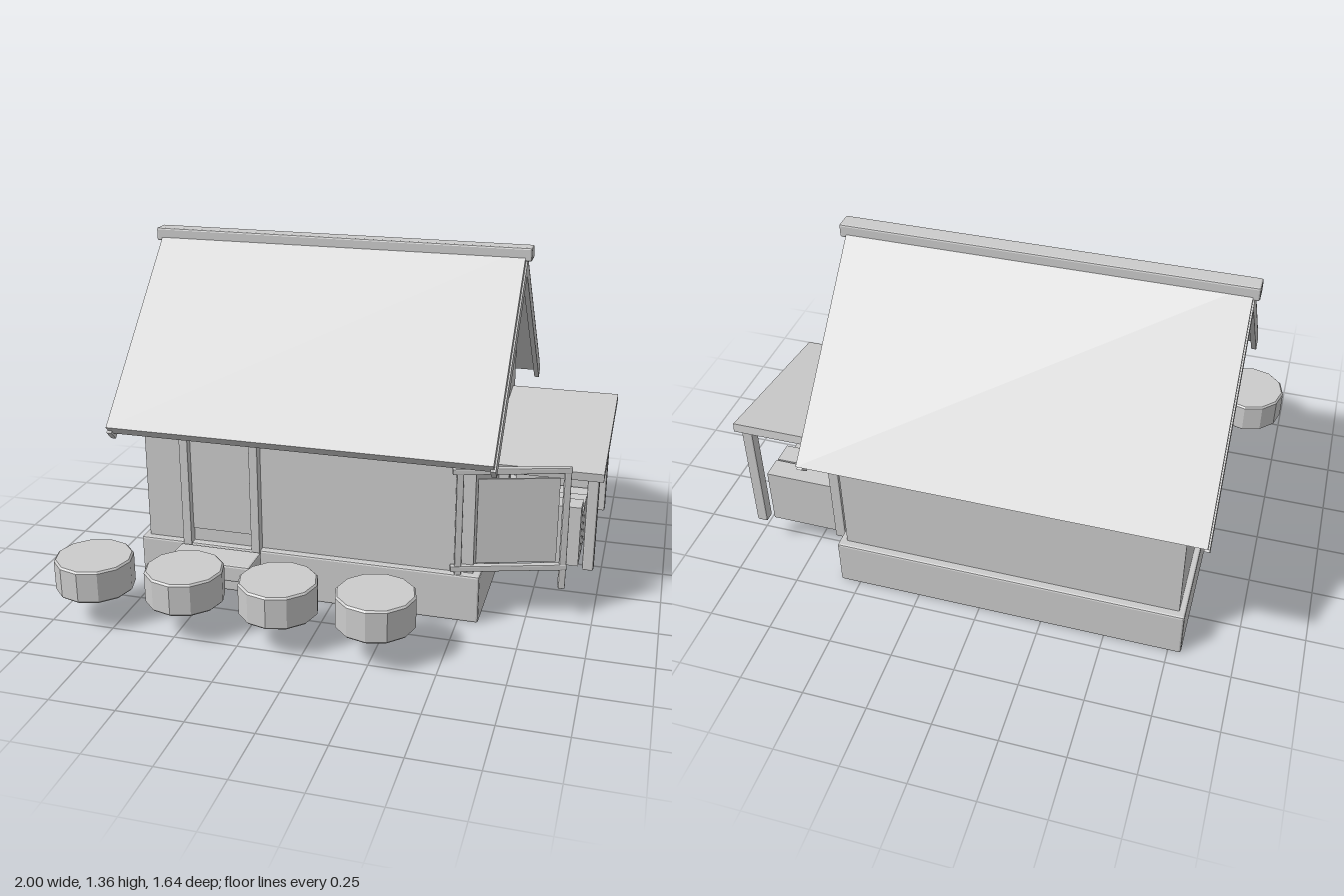
import * as THREE from 'three';
import { RoundedBoxGeometry } from 'three/addons/geometries/RoundedBoxGeometry.js';

const plain = new THREE.MeshStandardMaterial({ color: 0xcccccc });
plain.name = 'pale grey';
plain.flatShading = true;

const RIDGE_Z = -0.17, RIDGE_Y = 1.355;

function add(parent, name, geometry) {
  const mesh = new THREE.Mesh(geometry, plain);
  mesh.name = name;
  parent.add(mesh);
  return mesh;
}

// Box given by its limits, with an optional small bevel
function block(parent, name, x0, x1, y0, y1, z0, z1, bevel = 0) {
  const size = [x1 - x0, y1 - y0, z1 - z0];
  const geometry = bevel ? new RoundedBoxGeometry(...size, 1, bevel) : new THREE.BoxGeometry(...size);
  const mesh = add(parent, name, geometry);
  mesh.position.set((x0 + x1) / 2, (y0 + y1) / 2, (z0 + z1) / 2);
  return mesh;
}

// Side profile, symmetrical about the ridge, stretched along x
function profile(parent, name, points, x0, x1) {
  const shape = new THREE.Shape(points.map(([s, y]) => new THREE.Vector2(s, y)));
  const geometry = new THREE.ExtrudeGeometry(shape, { depth: x1 - x0, bevelEnabled: false });
  geometry.rotateY(Math.PI / 2);
  const mesh = add(parent, name, geometry);
  mesh.position.set(x0, 0, RIDGE_Z);
  return mesh;
}

// 45 degree chevron between two depths below the roof surface
function chevron(top, bottom, reach) {
  const d = Math.SQRT1_2, r = Math.SQRT2;
  const a = reach - top * d, b = reach - bottom * d;
  const ya = RIDGE_Y - reach - top * d, yb = RIDGE_Y - reach - bottom * d;
  return [[-a, ya], [-b, yb], [0, RIDGE_Y - bottom * r], [b, yb], [a, ya], [0, RIDGE_Y - top * r]];
}

export function createModel() {
  const model = new THREE.Group();
  model.name = 'cottage';

  // House body
  block(model, 'foundation', -0.8, 0.58, 0, 0.195, -0.692, 0.352, 0.008);
  block(model, 'walls', -0.775, 0.55, 0.19, 0.79, -0.66, 0.322);
  profile(model, 'gable', [[-0.491, 0.79], [0.491, 0.79], [0, 1.281]], -0.775, 0.55);

  // Roof, barge boards and ridge
  profile(model, 'roof', chevron(0, 0.05, 0.65), -0.86, 0.635);
  for (const x of [-0.866, 0.621]) {
    profile(model, 'bargeBoard', chevron(0.03, 0.08, 0.656), x, x + 0.02);
  }
  block(model, 'ridgeCap', -0.884, 0.66, 1.305, 1.358, -0.206, -0.134, 0.007);

  // Doorway
  for (const x of [-0.618, -0.331]) block(model, 'doorPost', x, x + 0.037, 0.13, 0.695, 0.318, 0.357, 0.005);
  block(model, 'lintel', -0.582, -0.33, 0.66, 0.695, 0.318, 0.355);
  block(model, 'door', -0.582, -0.33, 0.25, 0.665, 0.321, 0.33);
  block(model, 'doorStep', -0.622, -0.285, 0.126, 0.195, 0.365, 0.507, 0.008);

  // Round stools along the front
  const stoolProfile = [[0, 0], [0.143, 0], [0.15, 0.007], [0.15, 0.122], [0.143, 0.129], [0, 0.129]]
    .map(([r, y]) => new THREE.Vector2(r, y));
  for (let i = 0; i < 4; i++) {
    const stool = add(model, 'stool', new THREE.LatheGeometry(stoolProfile, 12));
    stool.position.set(-0.85 + i * 0.369, 0.126, 0.668);
  }

  // Drying rack with a hanging sheet
  const rack = new THREE.Group();
  rack.name = 'dryingRack';
  rack.position.set(0.677, 0, 0.28);
  rack.rotation.y = 0.3;
  model.add(rack);
  for (const x of [-0.193, 0.207]) block(rack, 'rackPost', x - 0.013, x + 0.013, 0.126, 0.625, -0.011, 0.011, 0.004);
  for (const y of [0.206, 0.603]) block(rack, 'rackRail', -0.222, 0.222, y, y + 0.024, -0.013, 0.013, 0.004);
  block(rack, 'sheet', -0.125, 0.18, 0.24, 0.583, -0.004, 0.004);

  // Lean-to shelter
  const shelter = new THREE.Group();
  shelter.name = 'shelter';
  model.add(shelter);
  const cover = block(shelter, 'shelterRoof', 0.55, 1, 0.565, 0.6, -0.61, 0.081);
  cover.rotation.x = 0.14;
  for (const x of [0.615, 0.96]) {
    block(shelter, 'frontPost', x - 0.022, x + 0.022, 0.126, 0.525, 0.006, 0.05, 0.006);
    block(shelter, 'backPost', x - 0.022, x + 0.022, 0.126, 0.61, -0.587, -0.543, 0.006);
  }

  // Stacked firewood
  [0.378, 0.308, 0.316, 0.303, 0.36, 0.366].forEach((top, i) => {
    const z = -0.022 - i * 0.0985;
    block(shelter, 'firewood', 0.61, 0.92, 0.126, top, z - 0.043, z + 0.043);
  });

  return model;
}
